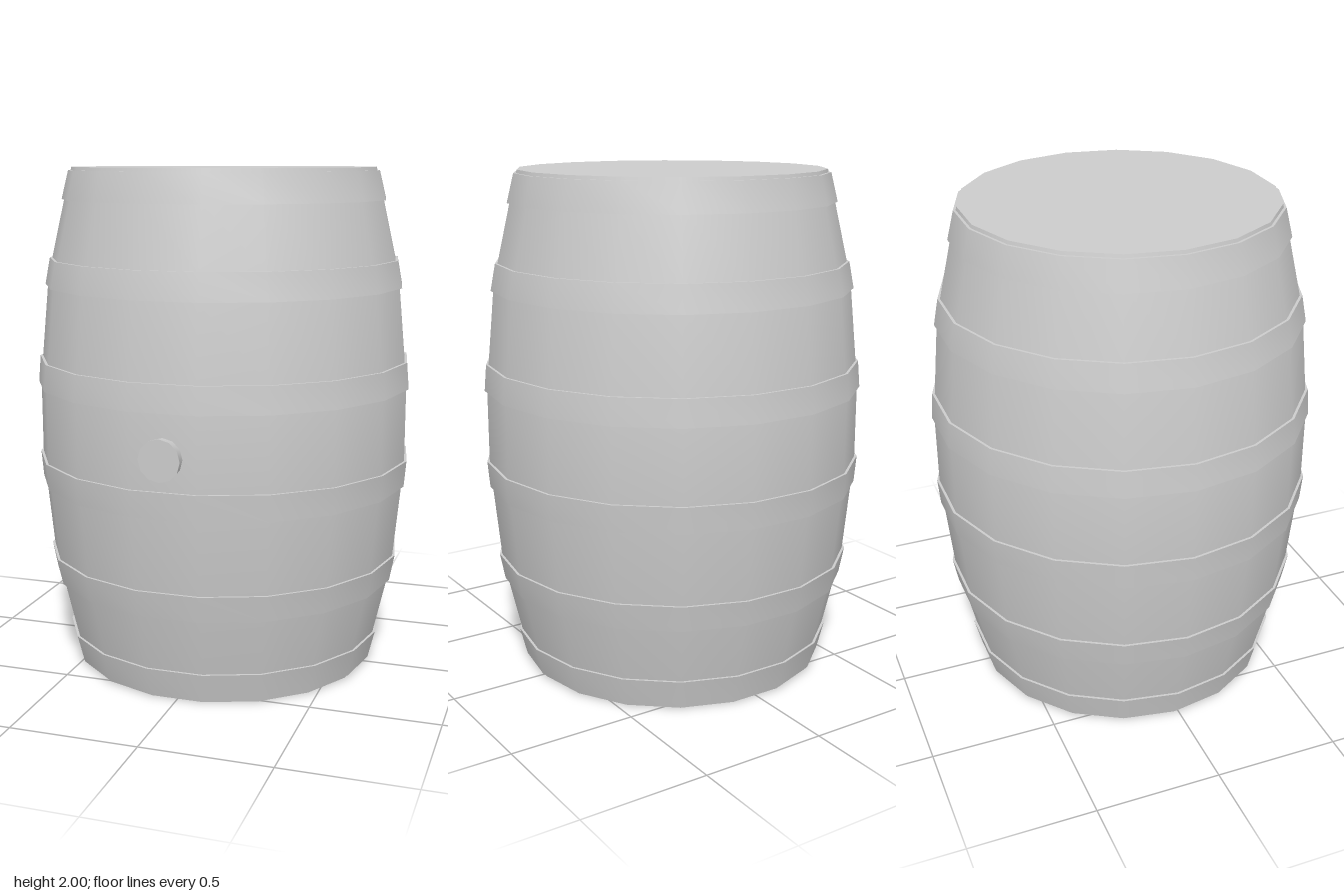
import * as THREE from 'three';
import { toCreasedNormals } from 'three/addons/utils/BufferGeometryUtils.js';

const SIDES = 18;
const CREASE = 0.6;
const CENTRE_Z = -0.017;
const material = new THREE.MeshStandardMaterial({ color: 0xcccccc });

// Upper half of the bulging stave profile as [radius, height above the middle]
const UPPER = [
  [0.747, 0.145], [0.738, 0.25], [0.71, 0.54],
  [0.69, 0.645], [0.636, 0.88], [0.606, 1],
];

// Stave radius at a signed height from the middle
function staveRadius(h) {
  const a = Math.abs(h);
  if (a <= UPPER[0][1]) return UPPER[0][0];
  const i = UPPER.findIndex((p) => p[1] >= a);
  const [r0, h0] = UPPER[i - 1];
  const [r1, h1] = UPPER[i];
  return r0 + ((r1 - r0) * (a - h0)) / (h1 - h0);
}

// Revolve a profile, listed bottom to top, with a corner on the x axis
function revolve(points, name) {
  const profile = points.map(([r, y]) => new THREE.Vector2(r, y));
  const lathe = new THREE.LatheGeometry(profile, SIDES, Math.PI / SIDES);
  const mesh = new THREE.Mesh(toCreasedNormals(lathe, CREASE), material);
  mesh.name = name;
  mesh.position.z = CENTRE_Z;
  return mesh;
}

export function createModel() {
  const barrel = new THREE.Group();
  barrel.name = 'barrel';

  // Closed body with flat ends
  const lower = UPPER.map(([r, h]) => [r, 1 - h]).reverse();
  const upper = UPPER.map(([r, h]) => [r, 1 + h]);
  barrel.add(revolve([[0, 0], ...lower, ...upper, [0, 2]], 'staves'));

  // Thin hoops, mirrored about the middle
  const hoops = [
    ['middleHoop', 0.145, 0.25],
    ['quarterHoop', 0.54, 0.645],
    ['endHoop', 0.875, 0.987],
  ];
  for (const [name, near, far] of hoops) {
    for (const side of [1, -1]) {
      const [h0, h1] = side > 0 ? [near, far] : [-far, -near];
      const r0 = staveRadius(h0);
      const r1 = staveRadius(h1);
      barrel.add(revolve([
        [r0 - 0.01, 1 + h0], [r0 + 0.01, 1 + h0],
        [r1 + 0.01, 1 + h1], [r1 - 0.01, 1 + h1],
      ], (side > 0 ? 'upper ' : 'lower ') + name));
    }
  }

  // Bung on the front, slightly wider at its outer face
  const bungShape = new THREE.CylinderGeometry(0.08, 0.074, 0.06, 12);
  bungShape.rotateX(Math.PI / 2);
  const bung = new THREE.Mesh(toCreasedNormals(bungShape, CREASE), material);
  bung.name = 'bung';
  bung.position.set(0, 0.98, 0.73);
  barrel.add(bung);

  return barrel;
}
